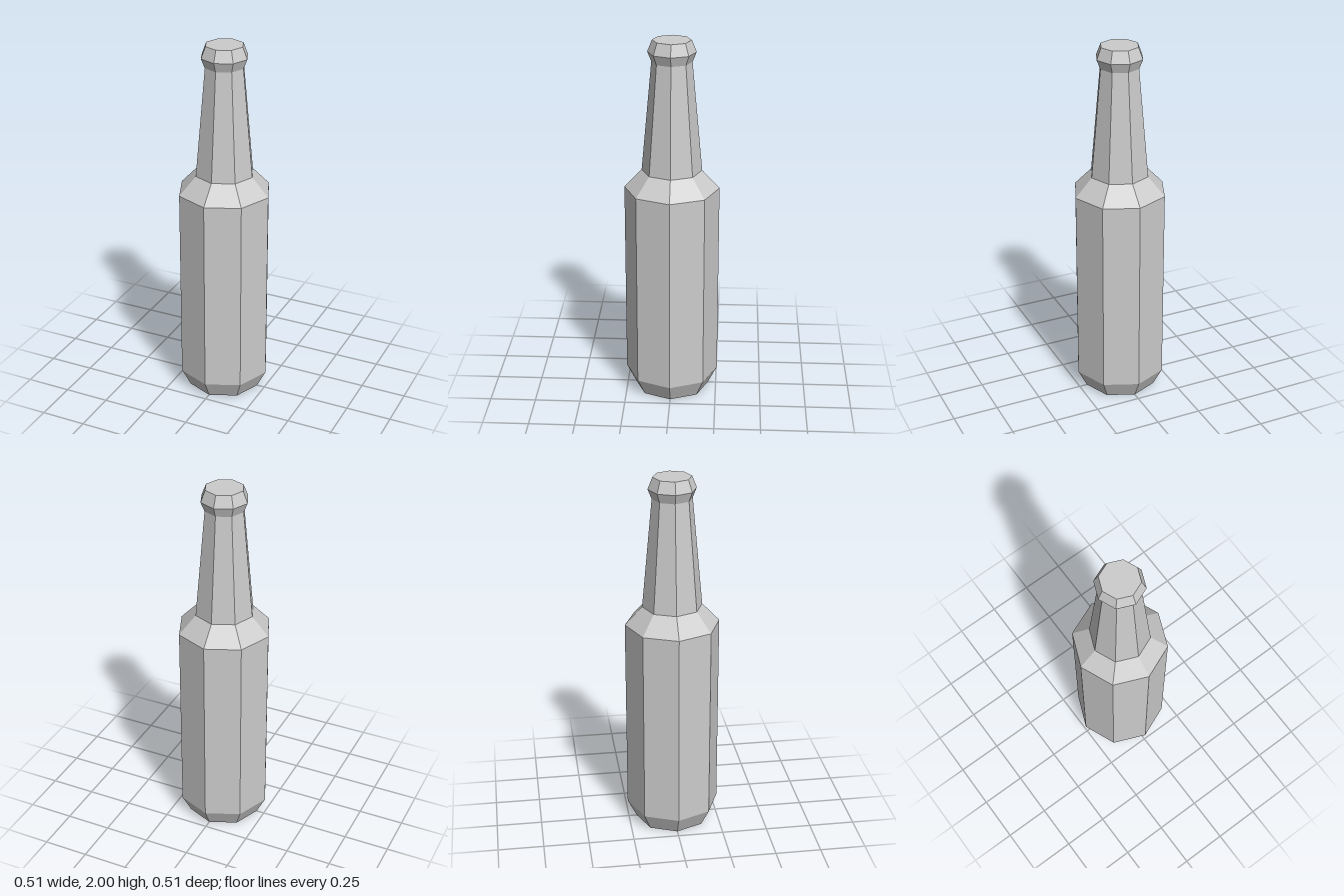
import * as THREE from 'three';

const SIDES = 8;

export function createModel() {
  const group = new THREE.Group();
  group.name = 'bottle';
  const material = new THREE.MeshStandardMaterial({ color: 0xcccccc, flatShading: true });

  // Each part is an eight-sided lathe of [radius, height] points, from bottom to top
  const addPart = (name, profile) => {
    const points = profile.map(([r, y]) => new THREE.Vector2(r, y));
    const mesh = new THREE.Mesh(new THREE.LatheGeometry(points, SIDES), material);
    mesh.name = name;
    group.add(mesh);
  };

  // Closed base with a bevelled foot, straight body and sloping shoulder
  addPart('body', [[0, 0], [0.205, 0], [0.256, 0.1], [0.256, 1.19], [0.162, 1.29]]);

  // Tapering neck
  addPart('neck', [[0.162, 1.29], [0.107, 1.885]]);

  // Flared cap with a flat top
  addPart('cap', [[0.107, 1.885], [0.128, 1.937], [0.103, 2], [0, 2]]);

  return group;
}
